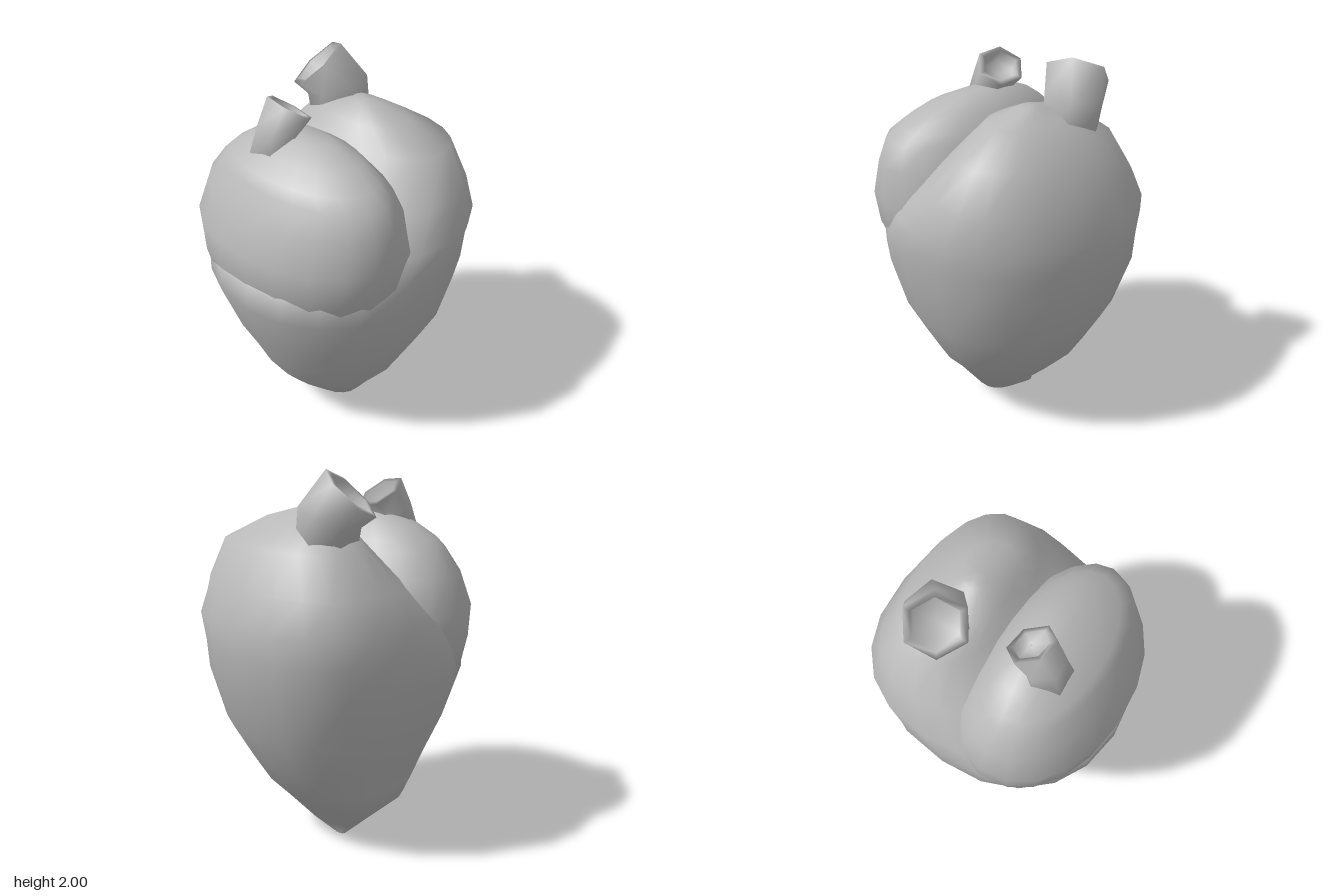
import * as THREE from 'three';

const tissue = new THREE.MeshStandardMaterial({ color: 0xb8b8b8 });
tissue.name = 'grey tissue';

// Joins closed rings of points (bottom to top) into a smooth skin with capped ends.
function loft(name, rings) {
  const n = rings[0].length, pos = [], index = [];
  rings.forEach(r => r.forEach(p => pos.push(p.x, p.y, p.z)));
  for (let j = 0; j < rings.length - 1; j++) {
    for (let i = 0; i < n; i++) {
      const k = (i + 1) % n;
      const a = j * n + i, b = j * n + k, c = b + n, d = a + n;
      index.push(a, b, c, a, c, d);
    }
  }
  const cap = (ring, first, flip) => {
    const m = new THREE.Vector3();
    ring.forEach(p => m.addScaledVector(p, 1 / n));
    const centre = pos.length / 3;
    pos.push(m.x, m.y, m.z);
    for (let i = 0; i < n; i++) {
      const a = first + i, b = first + (i + 1) % n;
      if (flip) index.push(centre, b, a); else index.push(centre, a, b);
    }
  };
  cap(rings[0], 0, true);
  cap(rings[rings.length - 1], (rings.length - 1) * n, false);
  const g = new THREE.BufferGeometry();
  g.setAttribute('position', new THREE.Float32BufferAttribute(pos, 3));
  g.setIndex(index);
  g.computeVertexNormals();
  const mesh = new THREE.Mesh(g, tissue);
  mesh.name = name;
  return mesh;
}

// Horizontal oval filling the x and z limits; each quarter has its own squareness
// (1 is round, less is squarer), in the order +x+z, +x-z, -x-z, -x+z.
function oval([y, x0, x1, z0, z1], powers, n = 20) {
  return Array.from({ length: n }, (_, i) => {
    const t = i / n * Math.PI * 2;
    const power = powers[Math.floor(i * 4 / n)];
    const soft = v => Math.abs(v) < 1e-6 ? 0 : Math.sign(v) * Math.pow(Math.abs(v), power);
    return new THREE.Vector3(
      (x0 + x1) / 2 + (x1 - x0) / 2 * soft(Math.sin(t)), y,
      (z0 + z1) / 2 + (z1 - z0) / 2 * soft(Math.cos(t)));
  });
}

// Six-sided ring facing along a direction.
function hexRing(centre, direction, radius, turn) {
  const d = new THREE.Vector3(...direction).normalize();
  const v = new THREE.Vector3().crossVectors(d, new THREE.Vector3(0, 0, 1)).normalize();
  const u = new THREE.Vector3().crossVectors(v, d);
  return Array.from({ length: 6 }, (_, i) => {
    const t = i / 6 * Math.PI * 2 + turn;
    return new THREE.Vector3(...centre)
      .addScaledVector(u, Math.cos(t) * radius).addScaledVector(v, Math.sin(t) * radius);
  });
}

// Stub of a vessel: outer wall, thick rim and hollow mouth.
function vessel(name, stages, wall, depth, turn) {
  const rings = stages.map(([c, d, r]) => hexRing(c, d, r, turn));
  const [c, d, r] = stages[stages.length - 1];
  const axis = new THREE.Vector3(...d).normalize();
  const floor = new THREE.Vector3(...c).addScaledVector(axis, -depth).toArray();
  rings.push(hexRing(c, d, r - wall, turn), hexRing(floor, d, r - wall * 1.3, turn));
  return loft(name, rings);
}

export function createModel() {
  const heart = new THREE.Group();
  heart.name = 'heart';

  // Large lobe, which also forms the whole lower body and the tip: y, x limits, z limits
  heart.add(loft('leftLobe', [
    [0.0, 0.03, 0.08, -0.14, -0.08],
    [0.05, -0.15, 0.11, -0.18, 0.16],
    [0.23, -0.33, 0.28, -0.375, 0.29],
    [0.33, -0.405, 0.37, -0.41, 0.375],
    [0.48, -0.475, 0.46, -0.47, 0.455],
    [0.67, -0.57, 0.565, -0.55, 0.55],
    [0.95, -0.67, 0.65, -0.63, 0.62],
    [1.1, -0.665, 0.66, -0.635, 0.63],
    [1.25, -0.48, 0.67, -0.63, 0.635],
    [1.42, -0.22, 0.6, -0.54, 0.57],
    [1.62, -0.02, 0.51, -0.4, 0.46],
    [1.73, 0.04, 0.34, -0.22, 0.26],
    [1.785, 0.15, 0.25, -0.04, 0.06]
  ].map(r => oval(r, [0.87, 0.83, 0.9, 1]))));

  // Smaller lobe, emerging from the body and leaving the cleft
  heart.add(loft('rightLobe', [
    [0.7, -0.45, 0.1, -0.42, 0.35],
    [0.92, -0.61, 0.15, -0.57, 0.5],
    [1.1, -0.66, 0.2, -0.605, 0.575],
    [1.27, -0.67, 0.18, -0.61, 0.595],
    [1.45, -0.59, 0.09, -0.56, 0.565],
    [1.57, -0.53, 0.02, -0.47, 0.52],
    [1.62, -0.49, -0.01, -0.42, 0.44],
    [1.69, -0.4, -0.06, -0.32, 0.33],
    [1.745, -0.29, -0.14, -0.17, 0.14]
  ].map(r => oval(r, [1, 1, 0.92, 1]))));

  // Vessel stubs: centre, facing direction and radius of each stage
  heart.add(vessel('largeVessel', [
    [[0.25, 1.55, -0.19], [0.05, 1, -0.25], 0.15],
    [[0.25, 1.77, -0.225], [-0.1, 1, -0.35], 0.16],
    [[0.185, 1.885, -0.305], [-0.4, 0.75, -0.55], 0.165]
  ], 0.035, 0.06, 0.75));
  heart.add(vessel('smallVessel', [
    [[-0.31, 1.6, -0.13], [0.05, 1, 0], 0.14],
    [[-0.28, 1.75, -0.13], [0.3, 0.9, 0.05], 0.11],
    [[-0.205, 1.845, -0.125], [0.54, 0.82, 0.15], 0.125]
  ], 0.03, 0.07, 0));

  return heart;
}
